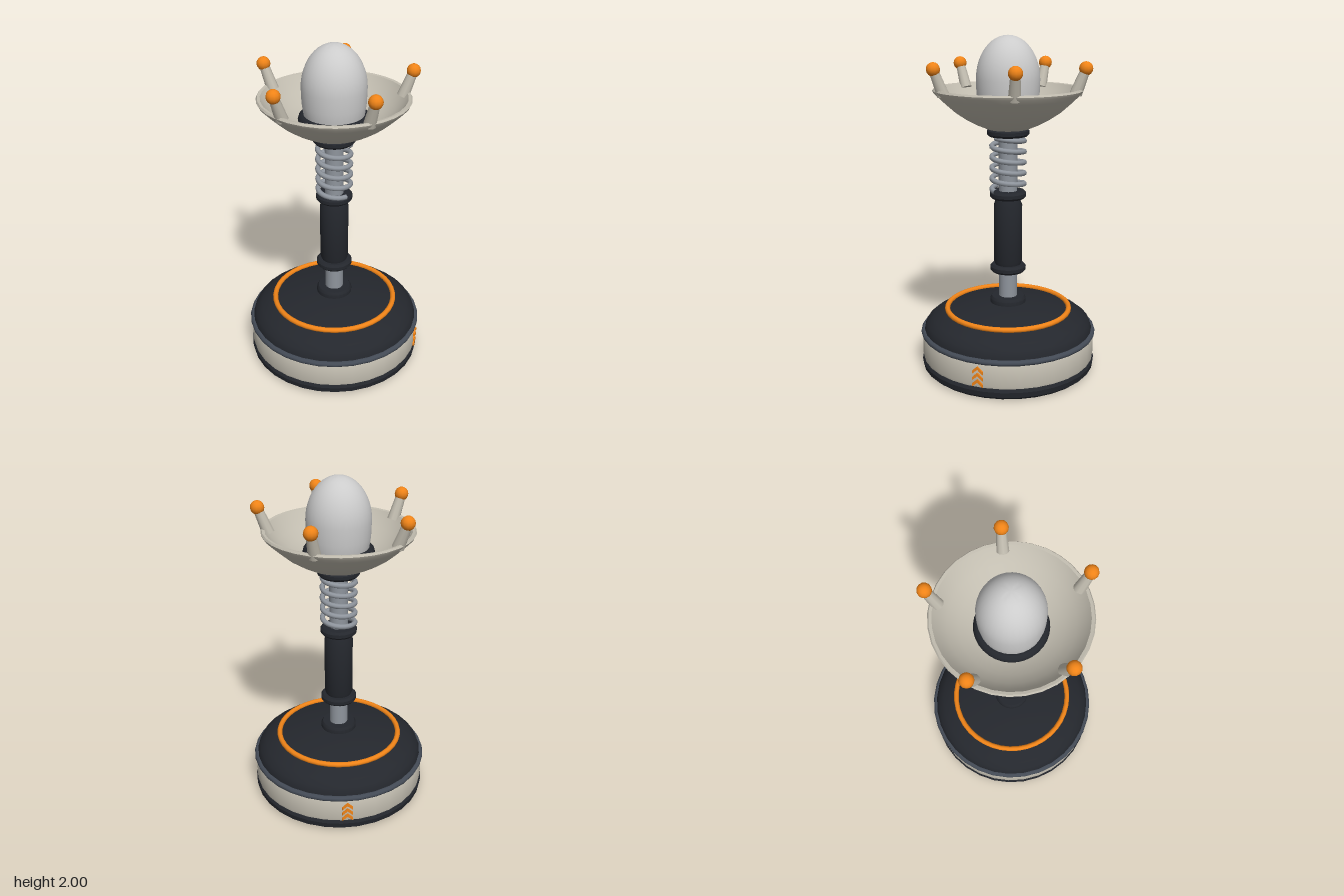
import * as THREE from 'three';
import { toCreasedNormals } from 'three/addons/utils/BufferGeometryUtils.js';

const mat = (color) => new THREE.MeshStandardMaterial({ color });

export function createModel() {
  const group = new THREE.Group();
  const dark = mat(0x24272d), slate = mat(0x434a55), cream = mat(0xc2bdb0);
  const orange = mat(0xf08418), metal = mat(0x8f959d), grey = mat(0xcccccc);

  const add = (name, geometry, material, parent = group) => {
    const mesh = new THREE.Mesh(geometry, material);
    mesh.name = name;
    parent.add(mesh);
    return mesh;
  };
  // Turned part from [radius, y] pairs, listed upwards along the outside
  const turned = (name, profile, material, sides = 32) => {
    const points = profile.map(([r, y]) => new THREE.Vector2(r, y));
    return add(name, toCreasedNormals(new THREE.LatheGeometry(points, sides), 0.6), material);
  };
  // Flat-lying ring with outer radius r and half height h
  const ring = (name, r, y, tube, h, material, sides = 32) => {
    const geometry = new THREE.TorusGeometry(r - tube, tube, 10, sides);
    geometry.rotateX(Math.PI / 2).scale(1, h / tube, 1).translate(0, y, 0);
    return add(name, geometry, material);
  };

  // Base
  turned('baseFoot', [[0, 0], [0.505, 0], [0.525, 0.018], [0.53, 0.05], [0.52, 0.07], [0, 0.07]], dark);
  turned('baseBand', [[0.5, 0.065], [0.522, 0.07], [0.525, 0.085], [0.525, 0.2], [0.515, 0.22], [0.48, 0.22]], cream);
  ring('baseRim', 0.535, 0.226, 0.02, 0.017, slate);
  turned('baseTop', [[0.515, 0.225], [0.512, 0.25], [0.497, 0.285], [0.46, 0.315], [0.395, 0.35],
    [0.33, 0.366], [0.26, 0.382], [0.14, 0.4], [0, 0.405]], dark);
  ring('baseTrim', 0.388, 0.363, 0.016, 0.016, orange, 40);

  // Chevron marks on both rear sides of the band
  const chevron = new THREE.Shape();
  [[0, 0.022], [0.032, -0.008], [0.032, -0.026], [0, 0.002], [-0.032, -0.026], [-0.032, -0.008]]
    .forEach(([x, y], i) => (i ? chevron.lineTo(x, y) : chevron.moveTo(x, y)));
  const chevronGeometry = new THREE.ExtrudeGeometry(chevron, { depth: 0.014, bevelEnabled: false });
  for (const side of [-1, 1]) {
    const marks = new THREE.Group();
    marks.name = side > 0 ? 'leftChevrons' : 'rightChevrons';
    marks.rotation.y = side * Math.PI * 2 / 3;
    for (let i = 0; i < 3; i++) {
      add('chevron', chevronGeometry, orange, marks).position.set(0, 0.1 + i * 0.039, 0.518);
    }
    group.add(marks);
  }

  // Stem with a grip sleeve and collars
  const rod = add('rod', new THREE.CylinderGeometry(0.055, 0.055, 1.07, 20), metal);
  rod.position.y = 0.925;
  turned('rodFoot', [[0.108, 0.39], [0.108, 0.425], [0.098, 0.44], [0, 0.44]], dark, 24);
  turned('sleeve', [[0, 0.62], [0.068, 0.62], [0.085, 0.665], [0.085, 1.01], [0.068, 1.06], [0, 1.06]], dark, 24);
  for (const [name, r, y] of [['lowerCollar', 0.108, 0.62], ['middleCollar', 0.108, 1.075], ['upperCollar', 0.124, 1.447]]) {
    turned(name, [[0, y - 0.023], [r - 0.012, y - 0.023], [r, y - 0.01], [r, y + 0.01],
      [r - 0.012, y + 0.023], [0, y + 0.023]], dark, 24);
  }

  // Coil spring
  const turns = 5, coil = [];
  for (let i = 0; i <= turns * 16; i++) {
    const a = i / 16 * Math.PI * 2;
    coil.push(new THREE.Vector3(Math.cos(a) * 0.096, 1.1 + 0.32 * i / (turns * 16), Math.sin(a) * 0.096));
  }
  add('spring', new THREE.TubeGeometry(new THREE.CatmullRomCurve3(coil), turns * 24, 0.0155, 8), metal);

  // Bowl: up the outside, over the lip and down the inside
  turned('bowl', [[0, 1.46], [0.12, 1.466], [0.19, 1.495], [0.25, 1.528], [0.31, 1.568], [0.36, 1.612],
    [0.4, 1.65], [0.428, 1.678], [0.435, 1.692], [0.428, 1.703], [0.412, 1.7], [0.385, 1.663], [0.34, 1.618],
    [0.28, 1.574], [0.2, 1.535], [0.1, 1.51], [0, 1.505]], cream);

  // Dome seated in a dark ring
  ring('domeSeat', 0.205, 1.565, 0.028, 0.035, dark);
  const dome = [[0.155, 1.53], [0.172, 1.59], [0.182, 1.66]];
  for (let i = 0; i <= 12; i++) {
    const a = i / 12 * Math.PI / 2;
    dome.push([Math.cos(a) * 0.185, 1.75 + Math.sin(a) * 0.25]);
  }
  turned('dome', dome, grey);

  // Five prongs with ball tips around the rim
  const foot = new THREE.Vector3(0, 1.675, 0.392), tip = new THREE.Vector3(0, 1.82, 0.448);
  const direction = tip.clone().sub(foot);
  const stemGeometry = new THREE.CylinderGeometry(0.027, 0.036, direction.length(), 10);
  const ballGeometry = new THREE.SphereGeometry(0.04, 12, 8);
  for (let i = 0; i < 5; i++) {
    const prong = new THREE.Group();
    prong.name = 'prong';
    prong.rotation.y = i * Math.PI * 2 / 5;
    const stem = add('prongStem', stemGeometry, cream, prong);
    stem.position.copy(foot).add(tip).multiplyScalar(0.5);
    stem.quaternion.setFromUnitVectors(new THREE.Vector3(0, 1, 0), direction.clone().normalize());
    add('prongBall', ballGeometry, orange, prong).position.copy(tip);
    group.add(prong);
  }
  return group;
}
